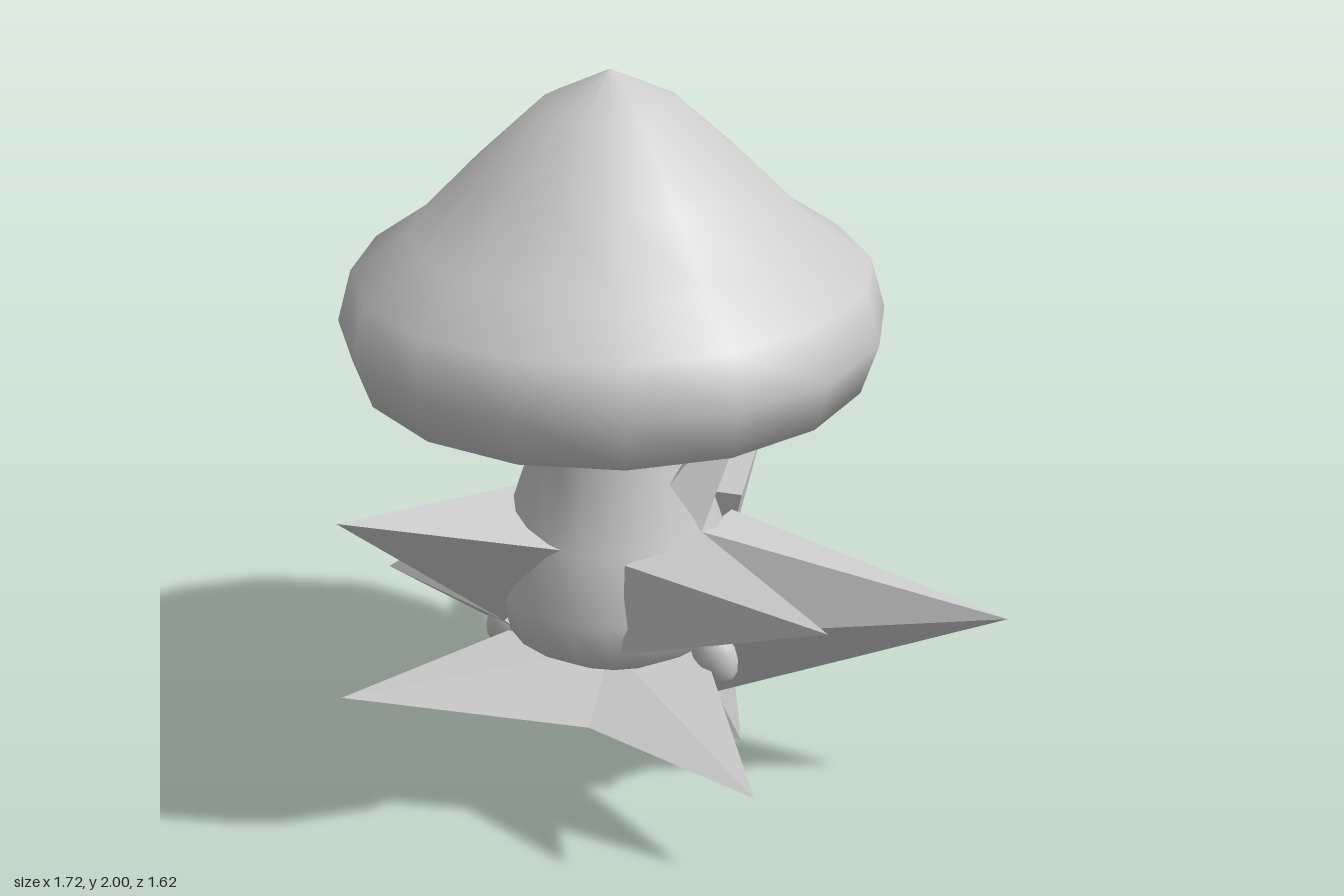
import * as THREE from 'three';

const V = (a) => new THREE.Vector3(...a);

// Base corners, some shared by neighbouring spikes
const P = {
  rightTop: [0.1, 0.83, 0.18], rightHigh: [0.02, 0.96, 0.23], rightBack: [0.1, 0.77, -0.17],
  rightRidge: [0.1, 0.77, -0.08], rightLow: [0.1, 0.28, 0.05], rightFront: [0.1, 0.54, 0.2],
  rightKnee: [0.12, 0.48, 0.2], shoulder: [-0.05, 0.78, -0.17],
  frontTop: [-0.2, 0.82, 0.37], frontInner: [-0.04, 0.805, 0.37], frontLow: [-0.04, 0.565, 0.4],
  footInner: [-0.13, 0.48, 0.24], bottom: [-0.13, 0.335, 0.41], underFront: [0, 0.28, 0.24],
  bottomLeft: [-0.3, 0.34, 0.1],
  leftFront: [-0.4, 0.55, 0.31], leftLow: [-0.4, 0.51, 0.29], leftTop: [-0.4, 0.85, 0.08],
  leftBack: [-0.4, 0.63, -0.12], top: [-0.1, 0.92, 0], backTop: [-0.2, 0.92, -0.02],
  back: [-0.17, 0.76, -0.18], backLeft: [-0.22, 0.72, -0.18], backMid: [-0.05, 0.53, -0.2],
  backRight: [0.04, 0.5, -0.2], backLow: [-0.24, 0.37, -0.19],
  tailTop: [-0.31, 0.58, -0.18], tailRight: [-0.19, 0.49, -0.27],
  tailLow: [-0.31, 0.38, -0.18], tailLeft: [-0.45, 0.49, -0.13],
};

// Each spike: its tip, then the corners it stands on
const SPIKES = [
  [[-0.71, 0.93, 0.61], 'frontTop', 'leftTop', 'leftFront'],
  [[-0.67, 1.11, -0.29], 'leftTop', 'backTop', 'backLeft', 'leftBack'],
  [[0.21, 1.23, 0.03], 'top', 'rightHigh', 'rightTop', 'shoulder'],
  [[0.55, 0.845, 0.61], 'frontInner', 'rightTop', 'rightFront', 'frontLow'],
  [[0.855, 0.57, -0.08], 'rightTop', 'rightRidge', 'backRight', 'rightLow', 'rightFront'],
  [[0.335, 0.255, 0.47], 'footInner', 'rightKnee', 'underFront', 'bottom'],
  [[0.11, 0, -0.16], 'underFront', 'rightLow', 'backRight', 'backLow', 'bottomLeft'],
  [[-0.775, 0.37, 0.53], 'leftLow', 'footInner', 'bottom', 'bottomLeft'],
  [[-0.86, 0.5, 0.045], 'leftFront', 'leftTop', 'leftBack', 'backLow', 'bottomLeft'],
  [[0.03, 0.77, -0.61], 'rightBack', 'back', 'backMid', 'backRight'],
  [[-0.68, 0.45, -0.81], 'tailTop', 'tailRight', 'tailLow', 'tailLeft'],
];

// Closed pyramid whose base corners are sorted anticlockwise around its axis
function spikeGeometry(tip, base) {
  const centre = base.reduce((s, p) => s.add(p), new THREE.Vector3()).divideScalar(base.length);
  const axis = tip.clone().sub(centre).normalize();
  const u = base[0].clone().sub(centre).projectOnPlane(axis).normalize();
  const w = axis.clone().cross(u);
  const angle = (p) => {
    const d = p.clone().sub(centre);
    return Math.atan2(d.dot(w), d.dot(u));
  };
  const ring = [...base].sort((a, b) => angle(a) - angle(b));
  const points = ring.flatMap((p, i) => {
    const next = ring[(i + 1) % ring.length];
    return [p, next, tip, next, p, centre];
  });
  const geometry = new THREE.BufferGeometry().setFromPoints(points);
  geometry.computeVertexNormals();
  return geometry;
}

function lathe(profile, sides) {
  return new THREE.LatheGeometry(profile.map(([r, y]) => new THREE.Vector2(r, y)), sides);
}

export function createModel() {
  const group = new THREE.Group();
  const smooth = new THREE.MeshStandardMaterial({ color: 0xcccccc });
  const flat = new THREE.MeshStandardMaterial({
    color: 0xcccccc, flatShading: true, side: THREE.DoubleSide,
  });
  const add = (name, geometry, material, x = 0, y = 0, z = 0) => {
    const mesh = new THREE.Mesh(geometry, material);
    mesh.name = name;
    mesh.position.set(x, y, z);
    group.add(mesh);
    return mesh;
  };

  // Cap with a hollow underside
  add('cap', lathe([
    [0.2, 1.45], [0.25, 1.33], [0.38, 1.23], [0.52, 1.2], [0.64, 1.25], [0.683, 1.38],
    [0.645, 1.51], [0.5, 1.61], [0.35, 1.76], [0.17, 1.925], [0.01, 2], [0, 2],
  ], 16), smooth, -0.15, 0, 0.13);

  // Stem, swelling towards a rounded foot
  add('stem', lathe([
    [0, 0.43], [0.2, 0.45], [0.29, 0.51], [0.325, 0.64], [0.275, 0.82],
    [0.215, 1], [0.205, 1.2], [0.2, 1.46],
  ], 20), smooth, -0.163, 0, 0.108);

  // Small side knobs
  for (const side of [-1, 1]) {
    const knob = add('knob', new THREE.SphereGeometry(1, 12, 8), smooth,
      -0.15 + side * 0.29, 0.48, 0.19);
    knob.scale.set(0.06, 0.085, 0.045);
    knob.rotation.z = side * 0.4;
  }

  // Spiky burst around the foot
  for (const [tip, ...base] of SPIKES) {
    add('spike', spikeGeometry(V(tip), base.map((key) => V(P[key]))), flat);
  }
  return group;
}
